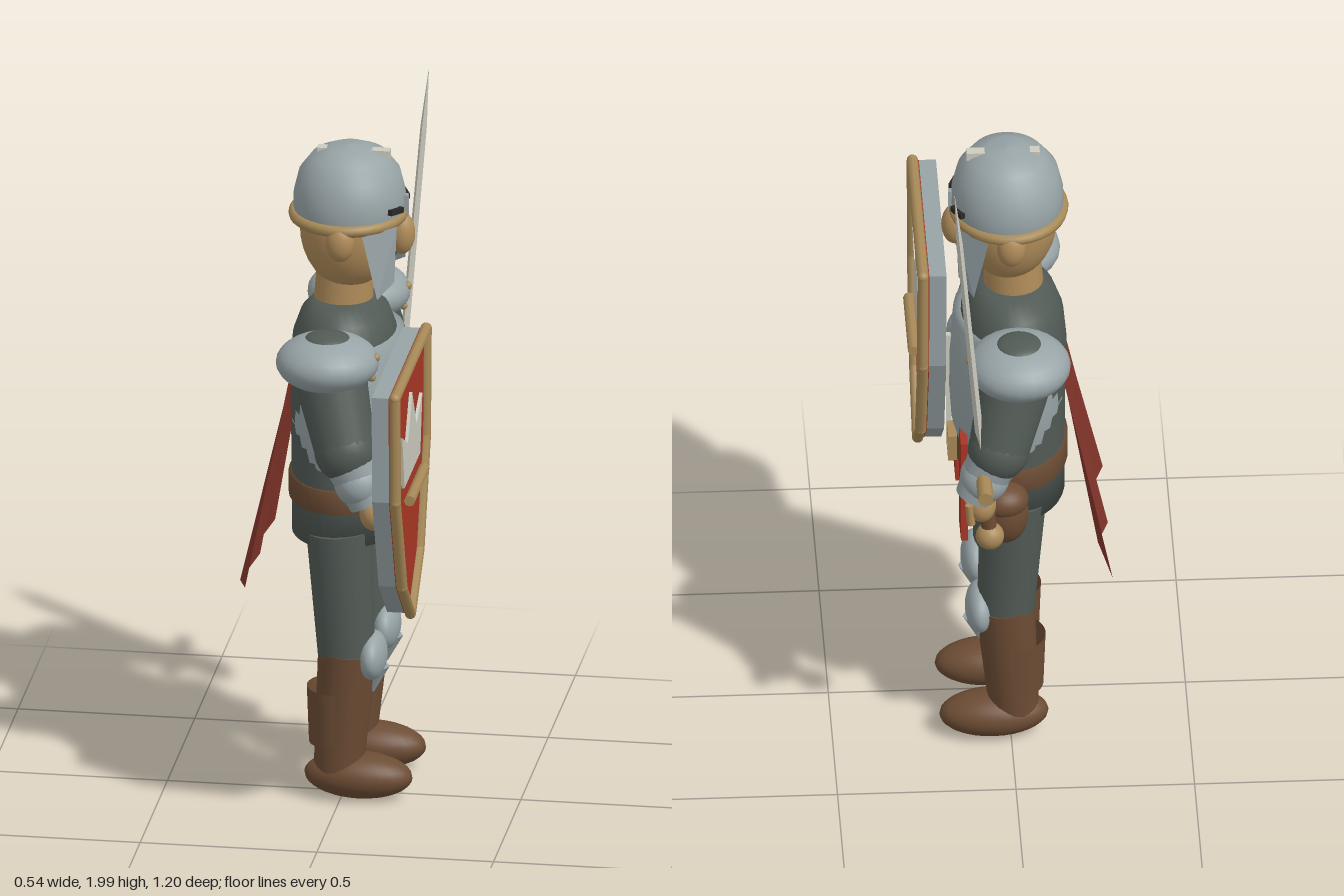
import * as THREE from 'three';

const mat = (name, color, side = THREE.FrontSide) =>
  Object.assign(new THREE.MeshStandardMaterial({ color, side }), { name });

export function createModel() {
  const D = THREE.DoubleSide;
  const steel = mat('steel', 0x98a4a7, D), mail = mat('dark mail', 0x525b56, D);
  const skin = mat('skin', 0xb08c5a), gold = mat('gold', 0xa88a58);
  const brown = mat('leather', 0x6c4c34, D), red = mat('red', 0xa93625);
  const capeRed = mat('cape red', 0x83352a, D), pale = mat('pale metal', 0xcdccc0);
  const dark = mat('dark', 0x2c2824);

  // The figure is built facing +z, then turned to face +x
  const model = new THREE.Group();
  model.name = 'knight';
  model.rotation.y = Math.PI / 2;
  const body = new THREE.Group();
  body.name = 'body';
  body.position.x = 0.083;
  model.add(body);

  const add = (name, geo, m, pos = [0, 0, 0], parent = body) => {
    const mesh = new THREE.Mesh(geo, m);
    mesh.name = name;
    mesh.position.set(...pos);
    parent.add(mesh);
    return mesh;
  };
  const ball = (name, m, pos, r, parent) =>
    add(name, new THREE.SphereGeometry(1, 24, 16).scale(...r), m, pos, parent);
  const box = (name, m, pos, size, parent) => add(name, new THREE.BoxGeometry(...size), m, pos, parent);
  const lathe = (name, m, pts, zScale, pos) => add(name,
    new THREE.LatheGeometry(pts.map(p => new THREE.Vector2(...p)), 32).scale(1, 1, zScale), m, pos);
  // Tapered cylinder running from a to b
  const limb = (name, m, a, b, ra, rb, parent, sides = 20) => {
    const A = new THREE.Vector3(...a), B = new THREE.Vector3(...b), dir = B.clone().sub(A);
    const mesh = add(name, new THREE.CylinderGeometry(rb, ra, dir.length(), sides), m,
      A.clone().add(B).multiplyScalar(0.5).toArray(), parent);
    mesh.quaternion.setFromUnitVectors(new THREE.Vector3(0, 1, 0), dir.normalize());
    return mesh;
  };
  const plate = (name, m, pts, z, depth, parent) => add(name,
    new THREE.ExtrudeGeometry(new THREE.Shape(pts.map(p => new THREE.Vector2(...p))),
      { depth, bevelEnabled: false }), m, [0, 0, z], parent);
  // Sheet through rows of points
  const sheet = (name, m, rows) => {
    const n = rows[0].length, idx = [];
    for (let r = 0; r < rows.length - 1; r++) for (let c = 0; c < n - 1; c++) {
      const i = r * n + c;
      idx.push(i, i + n, i + 1, i + 1, i + n, i + n + 1);
    }
    let geo = new THREE.BufferGeometry();
    geo.setAttribute('position', new THREE.Float32BufferAttribute(rows.flat(2), 3));
    geo.setIndex(idx);
    geo = geo.toNonIndexed();
    geo.computeVertexNormals();
    return add(name, geo, m);
  };

  // Torso, breastplate and belt
  lathe('torso', mail, [[0, 0.765], [0.205, 0.765], [0.205, 0.92], [0.208, 1.1], [0.213, 1.25],
    [0.2, 1.35], [0.17, 1.41], [0.12, 1.45], [0, 1.45]], 0.72, [0, 0, -0.01]);
  lathe('breastplate', steel, [[0.195, 0.95], [0.214, 1.0], [0.223, 1.1], [0.222, 1.22],
    [0.206, 1.35], [0.17, 1.352]], 0.73, [0, 0, 0.004]);
  box('breastplateRidge', pale, [0, 1.125, 0.167], [0.018, 0.29, 0.015]);
  lathe('belt', brown, [[0.2, 0.87], [0.217, 0.872], [0.217, 0.938], [0.2, 0.94]], 0.72, [0, 0, -0.01]);
  for (const s of [-1, 1]) {
    box('buckleSide', gold, [s * 0.033, 0.907, 0.158], [0.015, 0.08, 0.025]);
    box('buckleBar', gold, [0, 0.907 + s * 0.033, 0.158], [0.08, 0.015, 0.025]);
  }
  ball('pouch', brown, [0.235, 0.82, 0.02], [0.058, 0.095, 0.065]);
  ball('pouchFlap', brown, [0.235, 0.865, 0.025], [0.064, 0.05, 0.07]);
  ball('pouchButton', gold, [0.22, 0.85, 0.092], [0.014, 0.014, 0.012]);

  // Head
  limb('neck', skin, [0, 1.42, -0.015], [0, 1.53, -0.01], 0.085, 0.08);
  ball('head', skin, [0, 1.665, 0], [0.145, 0.185, 0.137]);
  ball('nose', skin, [0, 1.645, 0.15], [0.038, 0.062, 0.038]);
  box('mouth', dark, [0, 1.57, 0.118], [0.088, 0.016, 0.02]);
  lathe('helmet', steel, [[0.165, 1.695], [0.171, 1.72], [0.17, 1.765], [0.154, 1.825], [0.115, 1.872],
    [0.06, 1.895], [0, 1.902]], 0.92, [0, 0, 0.003]);
  const rim = add('helmetRim', new THREE.TorusGeometry(0.17, 0.017, 10, 36), gold, [0, 1.702, 0]);
  rim.rotation.x = Math.PI / 2;
  rim.scale.y = 0.9;
  box('helmetCrest', pale, [0, 1.879, 0.015], [0.03, 0.024, 0.205]);
  box('nasal', steel, [0, 1.725, 0.163], [0.02, 0.07, 0.012]);
  for (const s of [-1, 1]) {
    ball('ear', skin, [s * 0.163, 1.665, 0], [0.034, 0.055, 0.04]);
    box('eyebrow', dark, [s * 0.078, 1.738, 0.143], [0.06, 0.016, 0.02]).rotation.set(0, s * 0.45, s * 0.12);
    ball('eye', dark, [s * 0.075, 1.68, 0.119], [0.016, 0.012, 0.012]);
    sheet('cheekGuard', steel, [
      [[s * 0.173, 1.69, 0.065], [s * 0.1, 1.7, 0.152]],
      [[s * 0.16, 1.5, 0.105], [s * 0.103, 1.535, 0.145]]]);
  }

  // Legs, boots and hip cloths
  for (const s of [-1, 1]) {
    const x = s * 0.125;
    limb('thigh', mail, [x, 0.4, 0.015], [x, 0.8, -0.008], 0.08, 0.093);
    limb('bootShaft', brown, [x * 0.98, 0.08, -0.01], [x, 0.44, 0.017], 0.07, 0.084);
    const foot = ball('bootFoot', brown, [x, 0.068, 0.047], [0.08, 0.066, 0.153]);
    foot.rotation.x = 0.02;
    ball('kneeCap', steel, [x, 0.427, 0.088], [0.089, 0.068, 0.04]);
    limb('kneePoint', steel, [x, 0.32, 0.086], [x, 0.4, 0.1], 0.006, 0.035, body, 8);
    add('calfGuard', new THREE.CylinderGeometry(0.093, 0.087, 0.165, 16, 1, true, Math.PI / 2, Math.PI),
      brown, [x, 0.25, -0.005]);
    box('hipCloth', red, [s * 0.145, 0.862, 0.133], [0.1, 0.32, 0.02]).rotation.z = s * 0.03;
  }

  // Arms with pauldrons and gauntlets
  for (const [s, side] of [[-1, 'shield'], [1, 'sword']]) {
    const shoulder = [s * 0.275, 1.34, -0.015], elbow = [s * 0.355, 1.12, 0.045], wrist = [s * 0.37, 0.97, 0.115];
    limb(side + 'UpperArm', mail, elbow, shoulder, 0.086, 0.105);
    ball(side + 'ShoulderJoint', mail, [s * 0.265, 1.33, -0.015], [0.115, 0.09, 0.115]);
    ball(side + 'Elbow', mail, elbow, [0.087, 0.09, 0.087]);
    ball(side + 'Pauldron', steel, [s * 0.29, 1.358, -0.015], [0.145, 0.08, 0.145]);
    ball(side + 'PauldronCap', mail, [s * 0.29, 1.425, -0.015], [0.064, 0.02, 0.064]);
    for (const [y, z] of [[1.378, 0.122], [1.318, 0.11]])
      ball(side + 'PauldronRivet', gold, [s * 0.29, y, z], [0.012, 0.012, 0.012]);
    limb(side + 'Gauntlet', steel, wrist, elbow, 0.055, 0.08);
    ball(side + 'GauntletCuff', steel, [s * 0.36, 1.03, 0.085], [0.078, 0.07, 0.07]);
    ball(side + 'Hand', skin, [s * 0.37, 0.945, s < 0 ? 0.13 : 0.095], [0.05, 0.052, 0.042]);
  }
  for (let i = 0; i < 4; i++)
    limb('finger', skin, [0.337 + i * 0.022, 0.9, 0.125], [0.337 + i * 0.022, 0.965, 0.13], 0.012, 0.012, body, 8);

  // Pleated cape, spreading towards the hem
  const rows = [];
  for (let r = 0; r <= 4; r++) {
    const t = r / 4, row = [];
    for (let c = 0; c <= 5; c++) {
      const out = c % 2 ? 0 : 1, u = 1 - 2 * c / 5;
      row.push([u * (0.195 + 0.15 * t), 1.33 - t * (0.64 + 0.03 * out), -0.125 - t * (0.115 + 0.035 * out)]);
    }
    rows.push(row);
  }
  sheet('cape', capeRed, rows);

  // Sword, leaning slightly forward
  const sword = new THREE.Group();
  sword.name = 'sword';
  sword.position.set(0.452, 1.06, 0.09);
  sword.rotation.x = 0.085;
  model.add(sword);
  const section = (w, d, y) => [[-w, y, 0], [0, y, d], [w, y, 0], [0, y, -d], [-w, y, 0]];
  const blade = sheet('blade', pale, [section(0.0005, 0.0005, 0.94), section(0.034, 0.009, 0.77),
    section(0.044, 0.012, 0)]);
  sword.add(blade);
  limb('swordGuard', gold, [-0.148, 0, 0], [0.148, 0, 0], 0.022, 0.022, sword, 8);
  limb('swordGrip', brown, [0, -0.2, 0], [0, 0, 0], 0.022, 0.022, sword, 12);
  ball('pommel', gold, [0, -0.225, 0], [0.04, 0.04, 0.04], sword);

  // Shield with rim, crown and bar
  const shield = new THREE.Group();
  shield.name = 'shield';
  model.add(shield);
  const outline = [[-0.585, 1.4], [-0.575, 1.085], [-0.455, 0.79], [-0.3, 0.655],
    [-0.145, 0.79], [-0.027, 1.085], [-0.012, 1.4]];
  plate('shieldBoard', steel, outline, 0.168, 0.048, shield);
  plate('shieldFace', red, outline, 0.216, 0.014, shield);
  outline.forEach((p, i) => {
    const q = outline[(i + 1) % outline.length];
    limb('shieldRim', gold, [...p, 0.234], [...q, 0.234], 0.016, 0.016, shield, 8);
    ball('shieldRimCorner', gold, [...p, 0.234], [0.016, 0.016, 0.016], shield);
  });
  plate('crown', pale, [[-0.44, 1.08], [-0.48, 1.245], [-0.378, 1.192], [-0.298, 1.315],
    [-0.22, 1.192], [-0.113, 1.245], [-0.15, 1.08]], 0.23, 0.009, shield);
  limb('crownBar', gold, [-0.433, 1.04, 0.252], [-0.165, 1.04, 0.252], 0.016, 0.016, shield, 8);
  limb('shieldGrip', brown, [-0.29, 0.86, 0.155], [-0.29, 1.02, 0.155], 0.018, 0.018, shield, 8);

  const root = new THREE.Group();
  root.name = 'knightFigure';
  root.add(model);
  return root;
}
